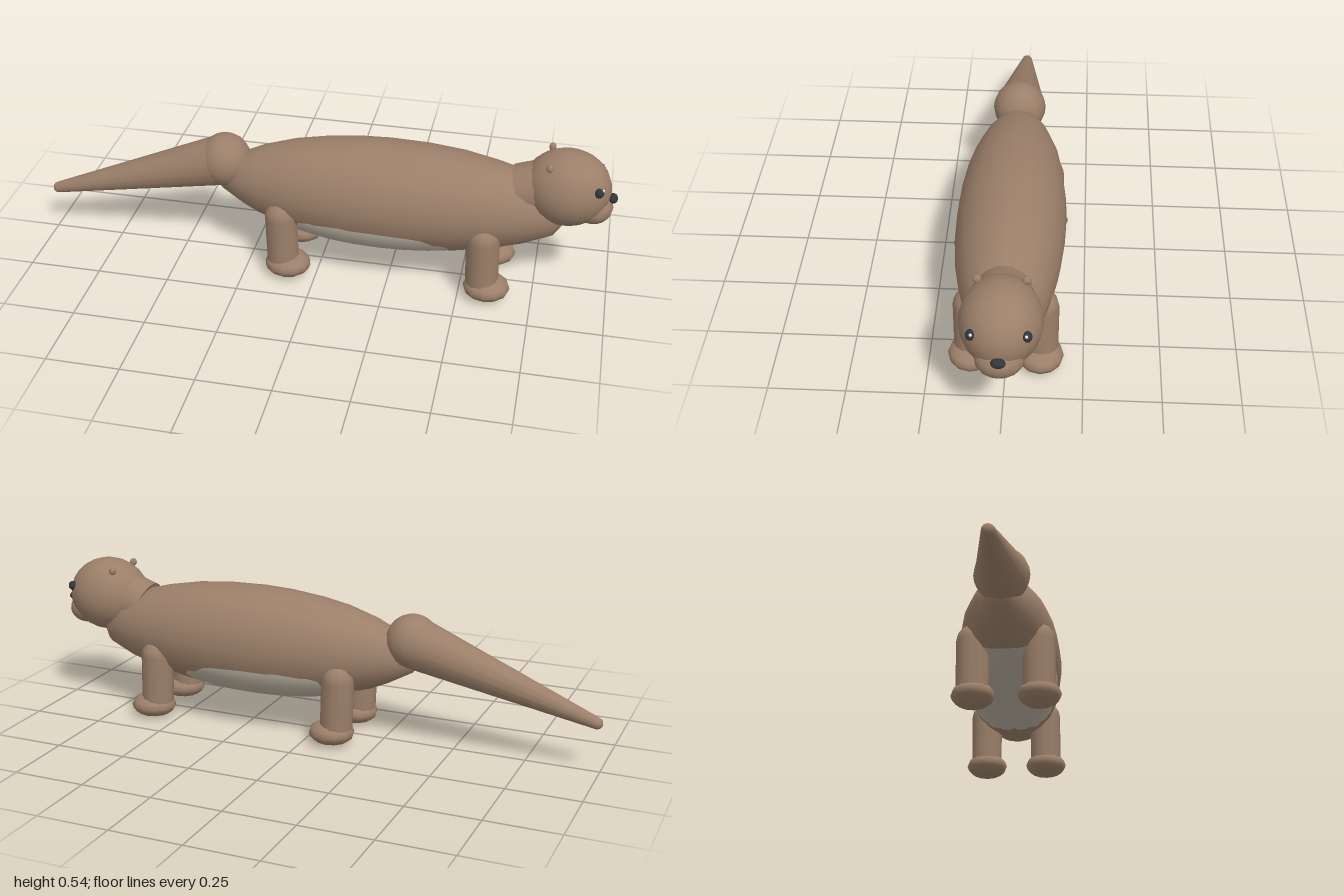
import * as THREE from 'three';

export function createModel() {
  const root = new THREE.Group();
  const mat = (name, color) => {
    const m = new THREE.MeshStandardMaterial({ color });
    m.name = name;
    return m;
  };
  const fur = mat('brown fur', 0x9b7f69);
  const pale = mat('pale belly', 0xb8ae9e);
  const dark = mat('dark eye and nose', 0x33363a);
  const white = mat('eye glint', 0xf4f4f4);

  const add = (name, geometry, material) => {
    const mesh = new THREE.Mesh(geometry, material);
    mesh.name = name;
    root.add(mesh);
    return mesh;
  };
  // Ellipsoid given by its centre and three radii
  const blob = (name, material, [x, y, z], [rx, ry, rz], w = 16, h = 12) => {
    const mesh = add(name, new THREE.SphereGeometry(1, w, h), material);
    mesh.position.set(x, y, z);
    mesh.scale.set(rx, ry, rz);
    return mesh;
  };
  // Tapered limb running from point a to point b
  const limb = (name, a, b, ra, rb, sides = 14) => {
    const p = new THREE.Vector3(...a), q = new THREE.Vector3(...b);
    const dir = q.clone().sub(p);
    const mesh = add(name, new THREE.CylinderGeometry(rb, ra, dir.length(), sides), fur);
    mesh.position.copy(p).add(q).multiplyScalar(0.5);
    mesh.quaternion.setFromUnitVectors(new THREE.Vector3(0, 1, 0), dir.normalize());
    return mesh;
  };

  // Long body, turned around the x axis: [x, radius]
  const profile = [
    [-0.37, 0], [-0.35, 0.05], [-0.27, 0.095], [-0.21, 0.122], [-0.1, 0.155], [0, 0.173],
    [0.12, 0.186], [0.22, 0.19], [0.35, 0.187], [0.48, 0.175], [0.6, 0.152], [0.7, 0.125],
    [0.8, 0.085], [0.83, 0.045], [0.84, 0],
  ].map(([x, r]) => new THREE.Vector2(r, x));
  const bodyGeo = new THREE.LatheGeometry(profile, 20);
  bodyGeo.rotateZ(-Math.PI / 2);
  const body = add('body', bodyGeo, fur);
  body.position.y = 0.305;
  body.scale.z = 0.96;
  blob('belly', pale, [0.22, 0.25, 0], [0.48, 0.138, 0.17], 24, 16);

  // Tail
  blob('tailBase', fur, [-0.345, 0.365, 0], [0.092, 0.094, 0.094]);
  limb('tail', [-0.35, 0.362, 0], [-0.98, 0.168, 0], 0.09, 0.02, 16);
  blob('tailTip', fur, [-0.98, 0.168, 0], [0.02, 0.02, 0.02], 12, 8);

  // Neck and head
  limb('neck', [0.68, 0.37, 0], [0.8, 0.415, 0], 0.093, 0.09);
  blob('head', fur, [0.83, 0.403, 0], [0.147, 0.132, 0.126], 20, 14);
  blob('muzzle', fur, [0.922, 0.342, 0], [0.066, 0.057, 0.075]);
  blob('nose', dark, [0.984, 0.378, 0], [0.016, 0.015, 0.023], 12, 8);

  for (const side of [1, -1]) {
    const s = side > 0 ? 'left' : 'right';
    blob(s + 'Eye', dark, [0.935, 0.44, 0.082 * side], [0.016, 0.017, 0.015], 12, 8);
    blob(s + 'EyeGlint', white, [0.947, 0.45, 0.08 * side], [0.005, 0.005, 0.005], 8, 6);
    blob(s + 'Ear', fur, [0.77, 0.508, 0.073 * side], [0.012, 0.014, 0.014], 12, 8);

    // Legs and paws
    for (const [end, x] of [['Front', 0.575], ['Back', -0.12]]) {
      const z = 0.112 * side;
      limb(s + end + 'Leg', [x + 0.005, 0.05, z], [x, 0.23, z], 0.056, 0.057, 12);
      blob(s + end + 'Shoulder', fur, [x, 0.23, z], [0.057, 0.06, 0.057], 12, 8);
      blob(s + end + 'Paw', fur, [x + 0.022, 0.042, z], [0.08, 0.042, 0.075], 12, 8);
    }
  }
  return root;
}
